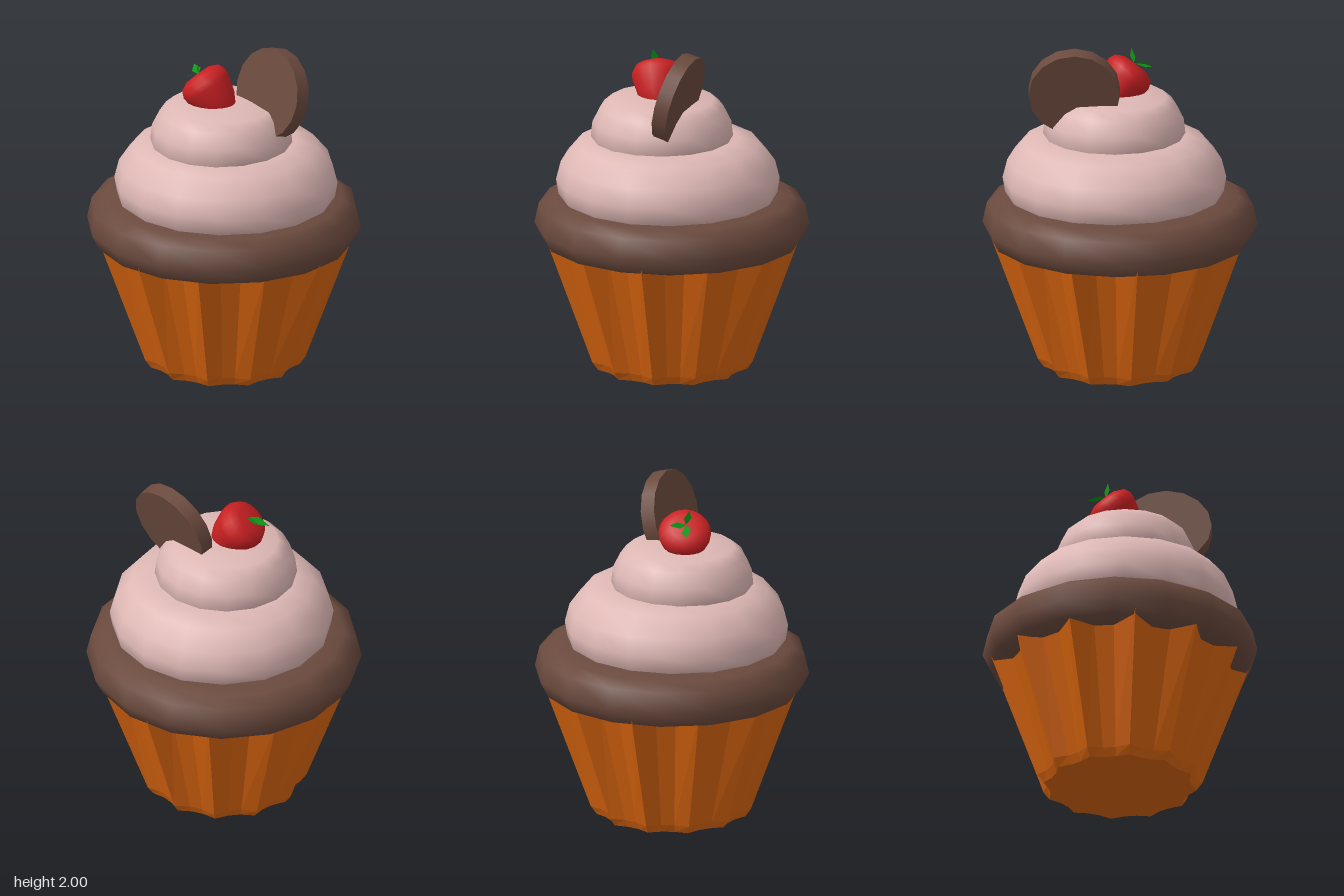
import * as THREE from 'three';

const mat = (name, color, side = THREE.FrontSide) => {
  const m = new THREE.MeshStandardMaterial({ color, side });
  m.name = name;
  return m;
};

// Round part turned from [radius, height] pairs, listed from bottom to top
function turned(name, profile, material, segments = 16, start = 0) {
  const pts = profile.map(([r, y]) => new THREE.Vector2(r, y));
  const mesh = new THREE.Mesh(new THREE.LatheGeometry(pts, segments, start), material);
  mesh.name = name;
  return mesh;
}

// Fluted paper case: sharp ridges every 30 degrees with shallow valleys between
function paperCase(material) {
  const flutes = 12;
  const levels = [[0.455, 0.42, 0], [0.49, 0.445, 0.05], [0.782, 0.69, 0.85]]; // ridge, valley, y
  const point = (level, i) => {
    const [ridge, valley, y] = levels[level];
    const k = i % 3;
    const degrees = Math.floor(i / 3) * 30 + 15 + [0, 10, 20][k];
    const a = THREE.MathUtils.degToRad(degrees);
    const r = k === 0 ? ridge : valley;
    return [r * Math.sin(a), y, r * Math.cos(a)];
  };
  const pos = [];
  for (let i = 0; i < flutes * 3; i++) {
    for (let l = 0; l < levels.length - 1; l++) {
      const a = point(l, i), b = point(l, i + 1), c = point(l + 1, i + 1), d = point(l + 1, i);
      pos.push(...a, ...b, ...c, ...a, ...c, ...d);
    }
    pos.push(0, 0, 0, ...point(0, i + 1), ...point(0, i));
  }
  const g = new THREE.BufferGeometry();
  g.setAttribute('position', new THREE.Float32BufferAttribute(pos, 3));
  g.computeVertexNormals();
  const mesh = new THREE.Mesh(g, material);
  mesh.name = 'paperCase';
  return mesh;
}

// Diamond leaf from base to tip; side gives the half width
function leaf(base, tip, side, material) {
  const mid = base.clone().lerp(tip, 0.45);
  const l = mid.clone().add(side), r = mid.clone().sub(side);
  const g = new THREE.BufferGeometry().setFromPoints([base, r, tip, base, tip, l]);
  g.computeVertexNormals();
  const mesh = new THREE.Mesh(g, material);
  mesh.name = 'leaf';
  return mesh;
}

export function createModel() {
  const model = new THREE.Group();
  model.name = 'cupcake';
  const orange = mat('orange paper', 0xd8640f);
  const chocolate = mat('chocolate', 0x6b4a3e);
  const cream = mat('pink cream', 0xdeb8b5);
  const red = mat('strawberry red', 0xc92022);
  const green = mat('leaf green', 0x0f9316, THREE.DoubleSide);
  const V = (x, y, z) => new THREE.Vector3(x, y, z);

  model.add(paperCase(orange));

  // Chocolate cake rim
  model.add(turned('cakeRim', [
    [0, 0.76], [0.5, 0.75], [0.66, 0.745], [0.765, 0.775], [0.812, 0.87],
    [0.785, 0.99], [0.71, 1.035], [0.6, 1.055], [0.4, 1.055],
  ], chocolate, 16, -0.037));

  // Two swirls of cream
  const lower = turned('lowerCream', [
    [0.6, 1.02], [0.645, 1.06], [0.66, 1.15], [0.632, 1.26], [0.54, 1.37], [0.42, 1.405], [0.2, 1.41],
  ], cream);
  lower.position.set(0.025, 0, 0.025);
  const upper = turned('upperCream', [
    [0.38, 1.36], [0.42, 1.41], [0.41, 1.5], [0.365, 1.59], [0.31, 1.637], [0.16, 1.655], [0, 1.66],
  ], cream);
  upper.position.set(0.012, 0, 0.06);
  model.add(lower, upper);

  // Cookie pushed into the cream, leaning back
  const cookie = new THREE.Mesh(new THREE.CylinderGeometry(0.27, 0.27, 0.09, 16), chocolate);
  cookie.name = 'cookie';
  cookie.position.set(0.305, 1.727, -0.03);
  cookie.quaternion.setFromUnitVectors(V(0, 1, 0), V(-0.38, 0.24, 0.89).normalize());
  model.add(cookie);

  // Strawberry lying on its side with leaves facing up and to the right
  const strawberry = new THREE.Group();
  strawberry.name = 'strawberry';
  const berry = turned('berry', [
    [0, -0.32], [0.07, -0.28], [0.115, -0.2], [0.145, -0.1], [0.148, -0.06], [0.13, -0.02], [0.08, 0.005], [0, 0.008],
  ], red, 20);
  berry.position.set(-0.13, 1.805, 0.08);
  berry.rotation.z = 0.72;
  berry.scale.z = 1.05;
  strawberry.add(berry);
  const base = V(-0.125, 1.815, 0.09);
  strawberry.add(
    leaf(base, V(-0.25, 1.775, 0.1), V(0.01, 0.01, 0.027), green),
    leaf(base, V(-0.2, 1.835, -0.005), V(0.024, 0.012, -0.01), green),
    leaf(base, V(-0.12, 1.905, 0.11), V(0.008, 0, 0.022), green),
  );
  model.add(strawberry);

  return model;
}
